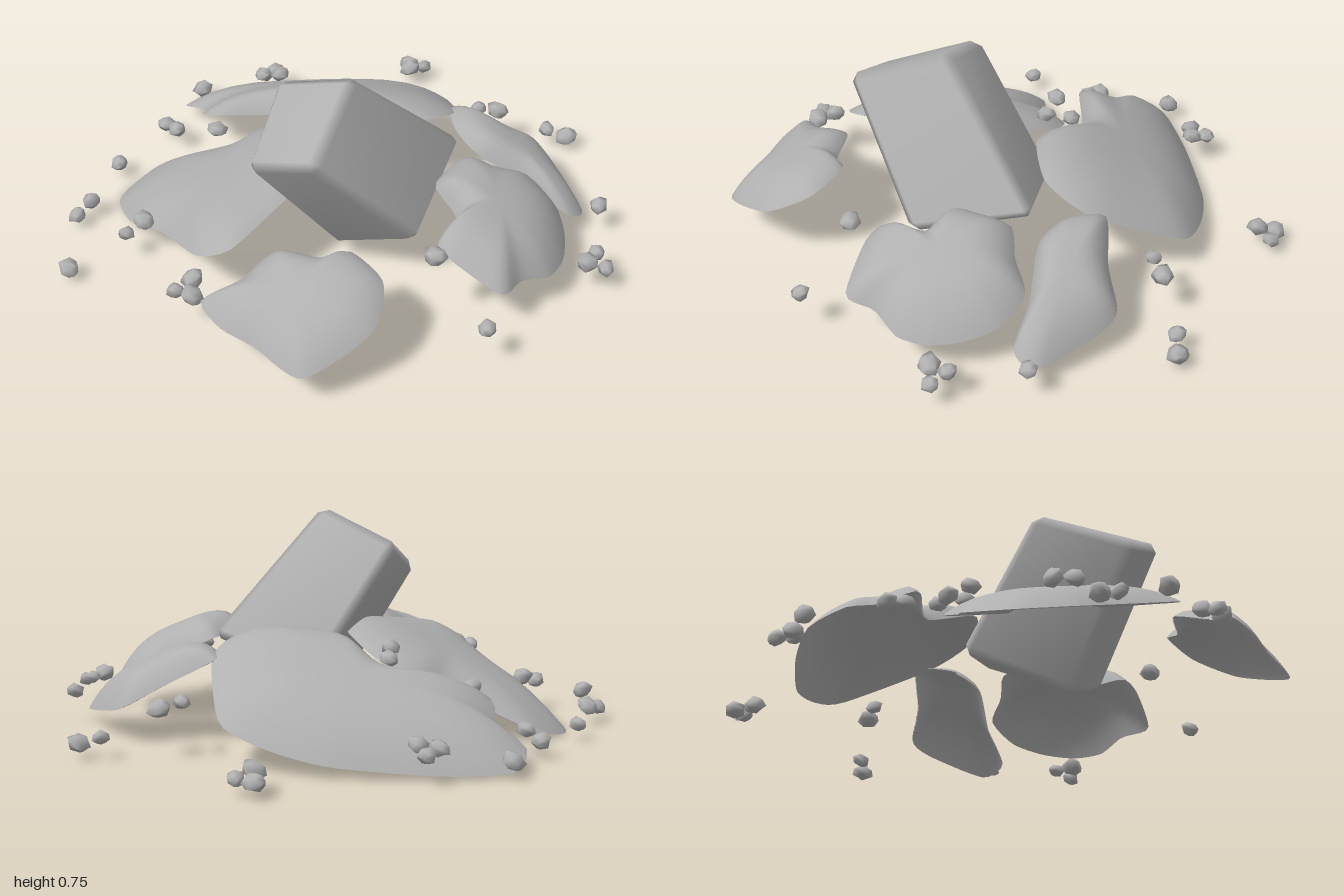
import * as THREE from 'three';
import { mergeVertices } from 'three/addons/utils/BufferGeometryUtils.js';
import { ConvexGeometry } from 'three/addons/geometries/ConvexGeometry.js';

const stone = new THREE.MeshStandardMaterial({ color: 0xb0b0b0 });
stone.name = 'stoneGrey';

// Slab: thin hollow dome of shrinking rings, with an inner skin just below the outer one.
// The rim lies on the plane y = a + b x + c z; the outline runs clockwise from above.
function slabGeometry([a, b, c], dome, outline) {
  const N = 64, RINGS = 8, THICKNESS = 0.008;
  const points = outline.map(([x, z]) => new THREE.Vector3(x, 0, z));
  const rim = new THREE.CatmullRomCurve3(points, true, 'catmullrom', 0.35).getSpacedPoints(N).slice(0, N);
  const mid = rim.reduce((s, p) => s.add(p), new THREE.Vector3()).divideScalar(N);
  const pos = [], idx = [];
  const add = (p, t) => {
    const x = mid.x + (p.x - mid.x) * t, z = mid.z + (p.z - mid.z) * t;
    pos.push(x, a + b * x + c * z + dome * (1 - t ** 3.6), z);
  };
  add(mid, 0);
  for (let r = 1; r <= RINGS; r++) {
    const t = Math.sin((r / RINGS) * Math.PI / 2);
    rim.forEach(p => add(p, t));
  }
  for (let i = 0; i < N; i++) {
    const j = (i + 1) % N;
    idx.push(0, 1 + j, 1 + i);
    for (let r = 0; r < RINGS - 1; r++) {
      const p = 1 + r * N, q = p + N;
      idx.push(p + i, p + j, q + i, p + j, q + j, q + i);
    }
  }
  const g = new THREE.BufferGeometry();
  g.setAttribute('position', new THREE.Float32BufferAttribute(pos, 3));
  g.setIndex(idx);
  g.computeVertexNormals();

  // Inner skin: same surface turned over, meeting the outer skin at the rim
  const count = pos.length / 3, rimStart = count - N;
  const inner = pos.map((v, k) => (k % 3 === 1 && k / 3 < rimStart ? v - THICKNESS : v));
  const normals = [...g.attributes.normal.array];
  g.setAttribute('position', new THREE.Float32BufferAttribute([...pos, ...inner], 3));
  g.setAttribute('normal', new THREE.Float32BufferAttribute([...normals, ...normals], 3));
  g.setIndex([...idx, ...idx.map(i => i + count).reverse()]);
  return g;
}

// Leaning four-sided block with softly rounded edges
function blockGeometry(bevel) {
  const V = (x, y, z) => new THREE.Vector3(x, y, z);
  const top = [V(-0.08, 0.77, 0.2), V(-0.21, 0.65, -0.08), V(-0.48, 0.52, 0.14), V(-0.38, 0.63, 0.4)];
  const low = [V(0.38, 0.34, 0.23), V(0.15, 0.24, -0.09), V(-0.14, 0.06, 0.18), V(0.01, 0.2, 0.47)];
  const points = [];
  [[top, low], [low, top]].forEach(([end, other]) => end.forEach((p, i) => {
    const dirs = [end[(i + 1) % 4], end[(i + 3) % 4], other[i]].map(q => q.clone().sub(p).setLength(bevel));
    for (let k = 0; k < 3; k++) points.push(p.clone().add(dirs[k]).add(dirs[(k + 1) % 3]));
  }));
  return smooth(new ConvexGeometry(points));
}

// Shares corners so that the shading runs smoothly over the edges
function smooth(geometry) {
  geometry.deleteAttribute('normal');
  geometry.deleteAttribute('uv');
  const g = mergeVertices(geometry, 1e-4);
  g.computeVertexNormals();
  return g;
}

// Rounded irregular pebble
function pebbleGeometry() {
  const g = smooth(new THREE.DodecahedronGeometry(0.042));
  const p = g.attributes.position;
  for (let i = 0; i < p.count; i++) {
    const s = 1 + 0.1 * Math.sin(i * 2.3);
    p.setXYZ(i, p.getX(i) * s, p.getY(i) * s * 0.75, p.getZ(i) * s * 0.9);
  }
  g.computeVertexNormals();
  return g;
}

export function createModel() {
  const model = new THREE.Group();
  model.name = 'rockPile';
  const add = (name, geometry, parent = model) => {
    const mesh = new THREE.Mesh(geometry, stone);
    mesh.name = name;
    parent.add(mesh);
    return mesh;
  };
  const slab = (name, plane, dome, ...outline) => add(name, slabGeometry(plane, dome, outline));

  add('leaningBlock', blockGeometry(0.03));

  // Ring of tilted slabs
  slab('backLeftSlab', [0.4, -0.24, 0.44], 0.11,
    [-0.15, -0.84], [-0.04, -0.9], [0.18, -0.78], [0.45, -0.57], [0.58, -0.4], [0.64, -0.23], [0.5, 0.03],
    [0.4, 0.09], [0.27, 0.08], [0.06, -0.1], [0.03, -0.35], [-0.17, -0.55], [-0.2, -0.62], [-0.14, -0.7]);
  slab('backRightSlab', [0.366, 0.282, 0.357], 0.08,
    [-0.55, -0.58], [-0.42, -0.6], [-0.33, -0.53], [-0.2, -0.39], [-0.06, -0.36], [0, -0.24], [-0.02, -0.05],
    [-0.1, 0.08], [-0.42, 0.18], [-0.6, 0.22], [-0.67, 0.12], [-0.65, -0.15], [-0.67, -0.35], [-0.62, -0.53]);
  slab('frontRightSlab', [0.565, 0.396, -0.24], 0.08,
    [-0.76, 0.3], [-0.63, 0.33], [-0.48, 0.33], [-0.38, 0.46], [-0.3, 0.5], [-0.28, 0.66],
    [-0.4, 0.77], [-0.65, 0.74], [-0.71, 0.55], [-0.76, 0.42]);
  slab('frontLeftSlab', [0.49, -0.23, -0.36], 0.11,
    [0.33, 0.29], [0.42, 0.36], [0.53, 0.42], [0.55, 0.55], [0.5, 0.66], [0.42, 0.75], [0.32, 0.8],
    [0.2, 0.79], [0.09, 0.82], [0, 0.66], [0, 0.58], [0.13, 0.52], [0.14, 0.38], [0.22, 0.33]);
  slab('leftSlab', [0.53, -0.456, -0.277], 0.09,
    [0.5, 0.01], [0.62, 0.12], [0.74, 0.2], [0.75, 0.3], [0.7, 0.53], [0.61, 0.55],
    [0.53, 0.4], [0.42, 0.25], [0.42, 0.12]);

  // Pebbles, alone or in small clusters on ground that falls away from the middle
  const scatter = new THREE.Group();
  scatter.name = 'pebbles';
  model.add(scatter);
  const geometry = pebbleGeometry();
  const cluster = (x, y, z, count = 1, start = 0) => {
    for (let k = 0; k < count; k++) {
      const angle = start + (k / count) * Math.PI * 2, reach = count > 1 ? 0.038 : 0;
      const dx = Math.cos(angle) * reach, dz = Math.sin(angle) * reach;
      const i = scatter.children.length;
      const m = add('pebble', geometry, scatter);
      m.position.set(x + dx, y - 0.4 * (dx * x + dz * z), z + dz);
      m.rotation.set(z * 0.5, i * 1.7, -x * 0.5);
      m.scale.setScalar(0.9 + 0.12 * Math.sin(i * 2.9));
    }
  };
  cluster(0.22, 0.11, -0.785, 3, 1.3);
  cluster(0.755, 0.06, -0.567, 3, -1.5);
  cluster(0.52, 0.11, 0.81, 3, 1.2);
  cluster(-0.76, 0.185, 0.21, 3, 1.57);
  cluster(-0.27, 0.075, -0.74, 2, 1.57);
  cluster(-0.775, 0.06, -0.505, 2, -0.32);
  cluster(-0.71, 0.125, -0.235, 2, -0.1);
  cluster(0.705, 0.18, -0.035, 2, 0.4);
  cluster(0.93, 0.065, 0.11, 2, 0.8);
  cluster(-0.03, 0.06, -0.91);
  cluster(-0.54, 0.06, -0.67);
  cluster(-0.22, 0.2, -0.48);
  cluster(0.01, 0.3, -0.32);
  cluster(-0.05, 0.32, -0.25);
  cluster(-0.97, 0.05, -0.25);
  cluster(0.72, 0.12, 0.59);
  cluster(-0.07, 0.31, 0.66);
  cluster(-0.04, 0.16, 0.91);
  return model;
}
